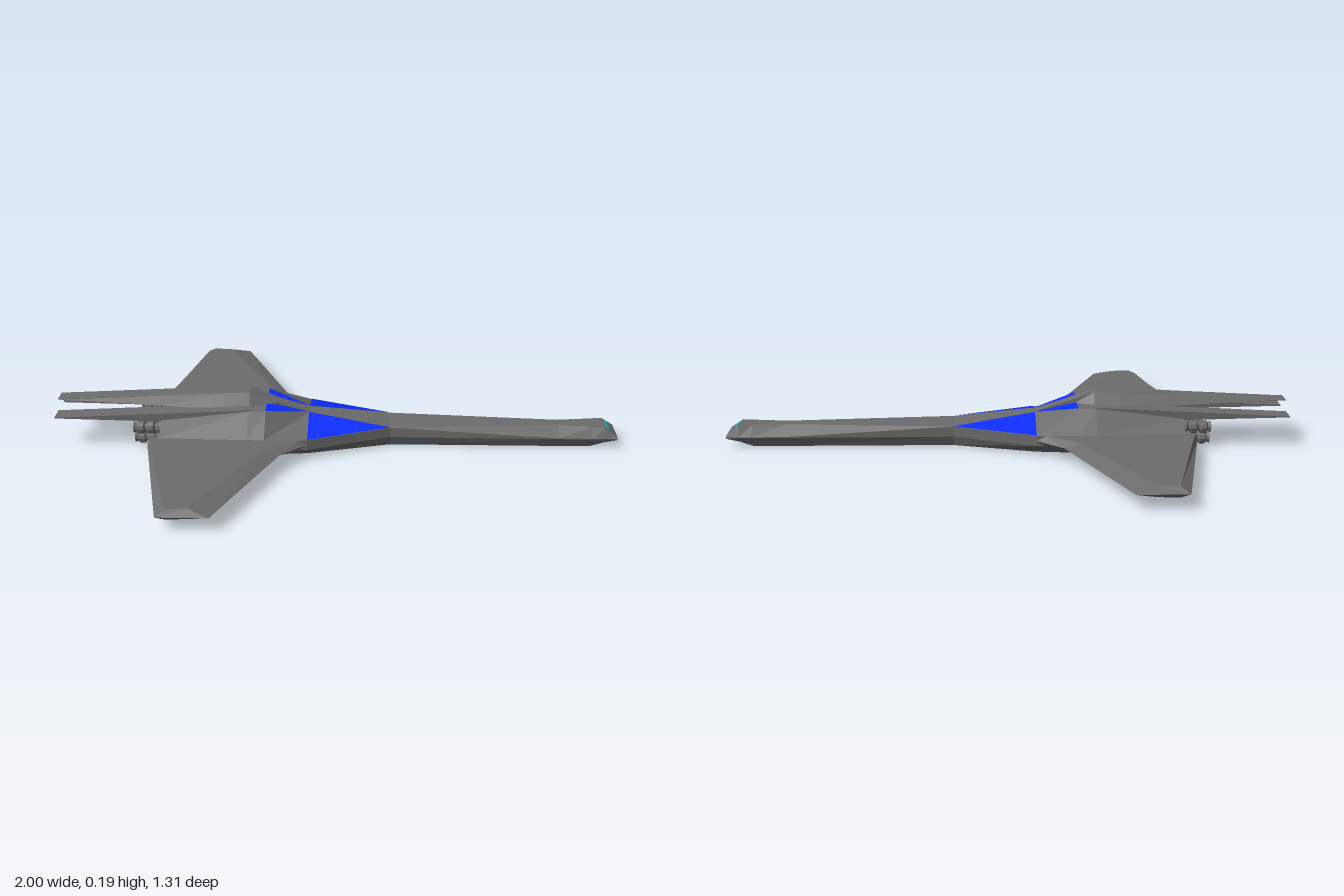
import * as THREE from 'three';

const GREY = 0x6c6c6c, BLUE = 0x0c2eff, TEAL = 0x22b5b5;

function makeMesh(name, geometry, color = GREY, doubleSided = false) {
  const material = new THREE.MeshStandardMaterial({ color, flatShading: true });
  if (doubleSided) material.side = THREE.DoubleSide;
  const mesh = new THREE.Mesh(geometry, material);
  mesh.name = name;
  return mesh;
}

function fromTriangles(points) {
  const g = new THREE.BufferGeometry();
  g.setAttribute('position', new THREE.Float32BufferAttribute(points.flat(), 3));
  g.computeVertexNormals();
  return g;
}

// Skin a list of closed rings and cap both ends
function loft(rings) {
  const tris = [], n = rings[0].length;
  for (let r = 0; r < rings.length - 1; r++) {
    const a = rings[r], b = rings[r + 1];
    for (let i = 0; i < n; i++) {
      const j = (i + 1) % n;
      tris.push(a[i], a[j], b[i], a[j], b[j], b[i]);
    }
  }
  const first = rings[0], last = rings[rings.length - 1];
  for (let i = 1; i < n - 1; i++) {
    tris.push(first[0], first[i + 1], first[i], last[0], last[i], last[i + 1]);
  }
  return fromTriangles(tris);
}

// Ring at x from a half profile of [y, z] running bottom to top, mirrored about zMid
function ring(x, half, zMid = 0) {
  const left = half.map(([y, z]) => [x, y, zMid + z]);
  const right = half.map(([y, z]) => [x, y, zMid - z]).reverse();
  return [...left, ...right];
}

export function createModel() {
  const model = new THREE.Group();
  model.name = 'spacecraft';

  // Hull with long neck, nose to tail
  const hull = [
    [1.0, [[0.034, 0.055], [0.037, 0.055], [0.04, 0.055], [0.043, 0.05]]],
    [0.955, [[0.02, 0.045], [0.037, 0.057], [0.04, 0.057], [0.075, 0.04]]],
    [0.91, [[0, 0.036], [0.037, 0.058], [0.04, 0.058], [0.075, 0.034]]],
    [0.79, [[0, 0.04], [0.037, 0.058], [0.04, 0.058], [0.075, 0.02]]],
    [0.19, [[0, 0.045], [0.037, 0.06], [0.075, 0.06], [0.075, 0.06]]],
    [-0.1, [[0, 0.12], [0.037, 0.165], [0.075, 0.165], [0.115, 0.025]]],
    [-0.25, [[0, 0.135], [0.037, 0.17], [0.075, 0.17], [0.15, 0.095]]],
    [-0.31, [[0, 0.135], [0.037, 0.17], [0.075, 0.17], [0.15, 0.1]]],
    [-0.62, [[0.008, 0.135], [0.037, 0.165], [0.075, 0.165], [0.11, 0.1]]],
  ];
  model.add(makeMesh('hull', loft(hull.map(([x, half]) => ring(x, half)))));

  // Central dorsal fairing running back into a thin spike
  const dorsal = [
    [-0.11, [[0.1, 0.02], [0.12, 0.02]]],
    [-0.21, [[0.13, 0.022], [0.152, 0.02]]],
    [-0.31, [[0.14, 0.065], [0.19, 0.03]]],
    [-0.4, [[0.14, 0.065], [0.188, 0.03]]],
    [-0.62, [[0.145, 0.048], [0.175, 0.029]]],
    [-1.0, [[0.153, 0.027], [0.155, 0.027]]],
  ];
  model.add(makeMesh('dorsalSpike', loft(dorsal.map(([x, half]) => ring(x, half)))));

  // Bevelled wing outline as [x, z], starting at the inner corner
  const edge = [[-0.19, 0.24], [-0.38, 0.655], [-0.55, 0.655], [-0.66, 0.17], [-0.6, 0.1], [-0.1, 0.1], [-0.1, 0.165]];
  const face = [[-0.25, 0.245], [-0.45, 0.628], [-0.52, 0.635], [-0.65, 0.17], [-0.59, 0.1], [-0.13, 0.1], [-0.13, 0.165]];
  const level = (outline, y) => outline.map(([x, z]) => [x, y, z]);
  const wingGeometry = loft([level(face, 0.037), level(edge, 0.056), level(face, 0.075)]);

  // Ribbed engine nozzle profile, [radius, length]
  const rib = [[0, 0], [0.02, 0]];
  for (let i = 0; i < 4; i++) {
    const t = 0.01 + i * 0.035;
    rib.push([0.016, t], [0.023, t + 0.006], [0.023, t + 0.025], [0.016, t + 0.031]);
  }
  rib.push([0.016, 0.16], [0, 0.16]);
  const nozzleGeometry = new THREE.LatheGeometry(rib.map(([r, l]) => new THREE.Vector2(r, l)), 10);
  nozzleGeometry.rotateZ(-Math.PI / 2);

  for (const s of [1, -1]) {
    const side = s > 0 ? 'left' : 'right';

    const wing = makeMesh(side + 'Wing', wingGeometry, GREY, true);
    wing.scale.z = s;
    model.add(wing);

    // Lower tail spike
    const spike = [
      [-0.27, [[0.1, 0.02], [0.15, 0.02]]],
      [-0.33, [[0.1, 0.03], [0.152, 0.03]]],
      [-1.0, [[0.112, 0.03], [0.115, 0.03]]],
    ];
    model.add(makeMesh(side + 'TailSpike', loft(spike.map(([x, half]) => ring(x, half, s * 0.066)))));

    // Blue panels laid just above the hull
    const lift = 0.0015;
    model.add(makeMesh(side + 'ShoulderPanel', fromTriangles([
      [0.19, 0.075 + lift, s * 0.06], [-0.1, 0.075 + lift, s * 0.166], [-0.1, 0.115 + lift, s * 0.025],
    ].sort((a, b) => s * (a[2] - b[2]) * (a[0] === b[0] ? 1 : 0))), BLUE, true));
    model.add(makeMesh(side + 'CanopyPanel', fromTriangles([
      [-0.1, 0.115 + lift, s * 0.025], [-0.25, 0.15 + lift, s * 0.095], [-0.25, 0.15 + lift, s * 0.02],
    ]), BLUE, true));

    // Stacked engines, the lower ones set further in
    for (const [level, y, z] of [['Lower', 0.032, 0.07], ['Upper', 0.077, 0.085]]) {
      const nozzle = makeMesh(side + level + 'Engine', nozzleGeometry, GREY, true);
      nozzle.position.set(-0.72, y, s * z);
      model.add(nozzle);
    }
  }

  // Nose window
  const windowPane = makeMesh('noseWindow', new THREE.BoxGeometry(0.014, 0.004, 0.055), TEAL);
  windowPane.position.set(0.966, 0.0675, 0);
  windowPane.rotation.z = -0.62;
  model.add(windowPane);

  return model;
}
